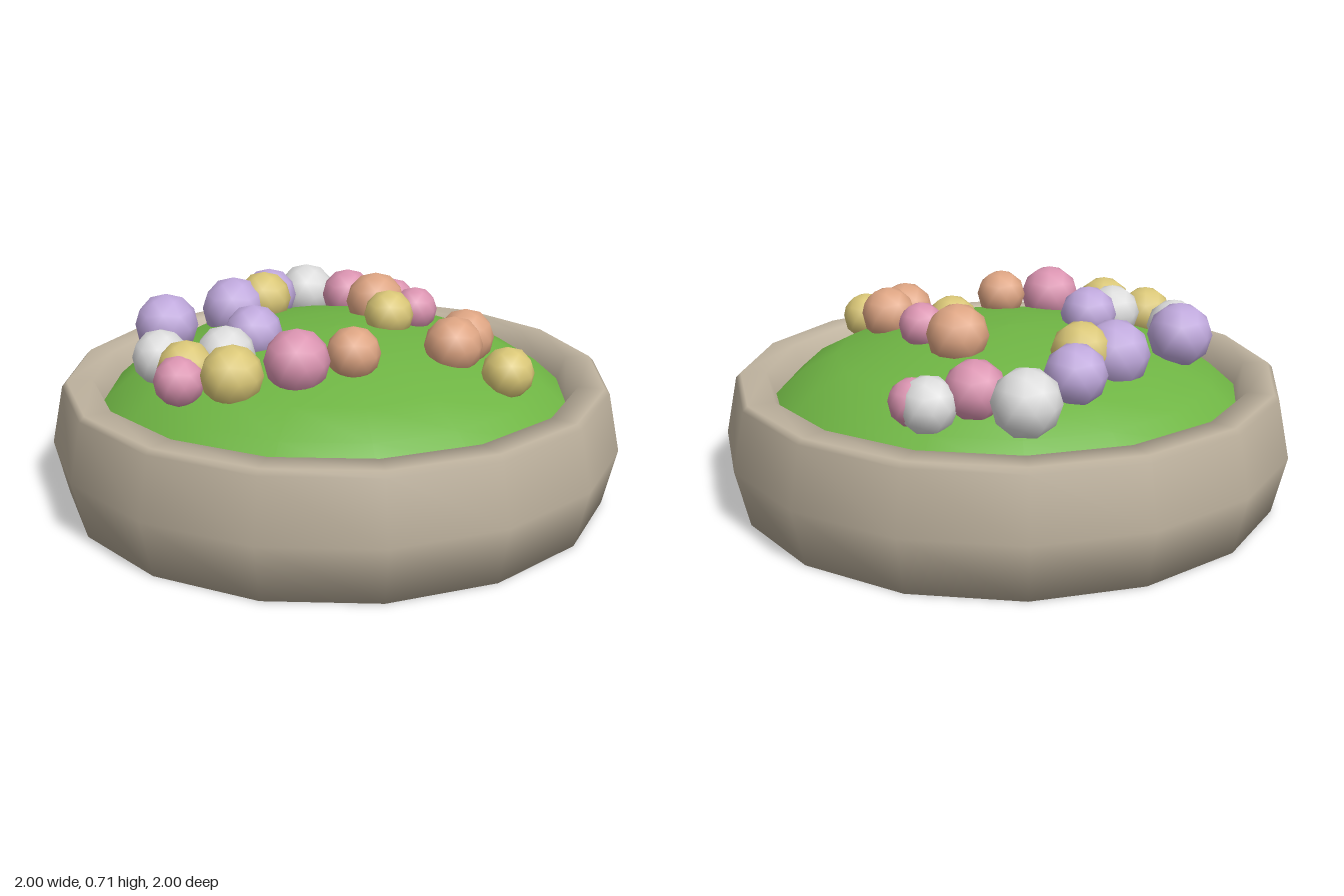
import * as THREE from 'three';

const SIDES = 16;

function material(name, color) {
  const m = new THREE.MeshStandardMaterial({ color });
  m.name = name;
  return m;
}

// Round solid turned from [radius, height] pairs, listed from the bottom up
function turned(name, profile, mat) {
  const points = profile.map(([r, y]) => new THREE.Vector2(r, y));
  const mesh = new THREE.Mesh(new THREE.LatheGeometry(points, SIDES), mat);
  mesh.name = name;
  return mesh;
}

export function createModel() {
  const group = new THREE.Group();
  group.name = 'flowerPlanter';

  const stone = material('stone', 0xbfb39f);
  const grass = material('grass', 0x6fb544);
  const purple = material('purplePetal', 0xbfa8dc);
  const yellow = material('yellowPetal', 0xdac777);
  const orange = material('orangePetal', 0xdea583);
  const pink = material('pinkPetal', 0xdb94b1);
  const white = material('whitePetal', 0xdcdcdc);

  // Bulging pot with closed base, flat rim and sloped inner wall
  group.add(turned('pot', [
    [0, 0], [0.955, 0], [1, 0.2], [0.957, 0.403], [0.94, 0.42], [0.85, 0.42], [0.815, 0.32],
  ], stone));

  // Domed planting bed
  group.add(turned('grassMound', [
    [0.82, 0.34], [0.73, 0.42], [0.6, 0.488], [0.38, 0.545], [0.18, 0.572], [0, 0.578],
  ], grass));

  // Blossoms: colour, x, y, z, radius
  const blossoms = [
    [purple, -0.32, 0.57, -0.51, 0.112],
    [white, -0.52, 0.53, -0.35, 0.097],
    [yellow, -0.58, 0.54, -0.18, 0.095],
    [pink, -0.645, 0.52, -0.15, 0.085],
    [yellow, -0.56, 0.545, 0, 0.103],
    [white, -0.44, 0.56, -0.13, 0.1],
    [purple, -0.27, 0.59, -0.15, 0.1],
    [pink, -0.415, 0.585, 0.15, 0.108],
    [orange, -0.265, 0.595, 0.265, 0.09],
    [orange, 0.275, 0.605, -0.02, 0.107],
    [yellow, 0.155, 0.605, 0.12, 0.088],
    [pink, 0.27, 0.605, 0.155, 0.08],
    [orange, 0.07, 0.57, 0.44, 0.1],
    [orange, 0.165, 0.575, 0.43, 0.098],
    [yellow, 0.08, 0.51, 0.645, 0.088],
    [purple, 0, 0.565, -0.47, 0.118],
    [purple, 0.245, 0.56, -0.5, 0.103],
    [yellow, 0.11, 0.59, -0.415, 0.1],
    [white, 0.475, 0.525, -0.495, 0.112],
    [pink, 0.51, 0.535, -0.315, 0.1],
    [white, 0.635, 0.5, -0.235, 0.095],
    [pink, 0.655, 0.505, -0.19, 0.08],
  ];

  // Shared ball, tipped so that a corner points straight up
  const ball = new THREE.IcosahedronGeometry(1, 1);
  ball.rotateZ(Math.atan(2 / (1 + Math.sqrt(5))));
  const flowers = new THREE.Group();
  flowers.name = 'flowers';
  for (const [mat, x, y, z, r] of blossoms) {
    const mesh = new THREE.Mesh(ball, mat);
    mesh.name = 'blossom';
    mesh.position.set(x, y, z);
    mesh.scale.setScalar(r);
    flowers.add(mesh);
  }
  group.add(flowers);

  return group;
}
